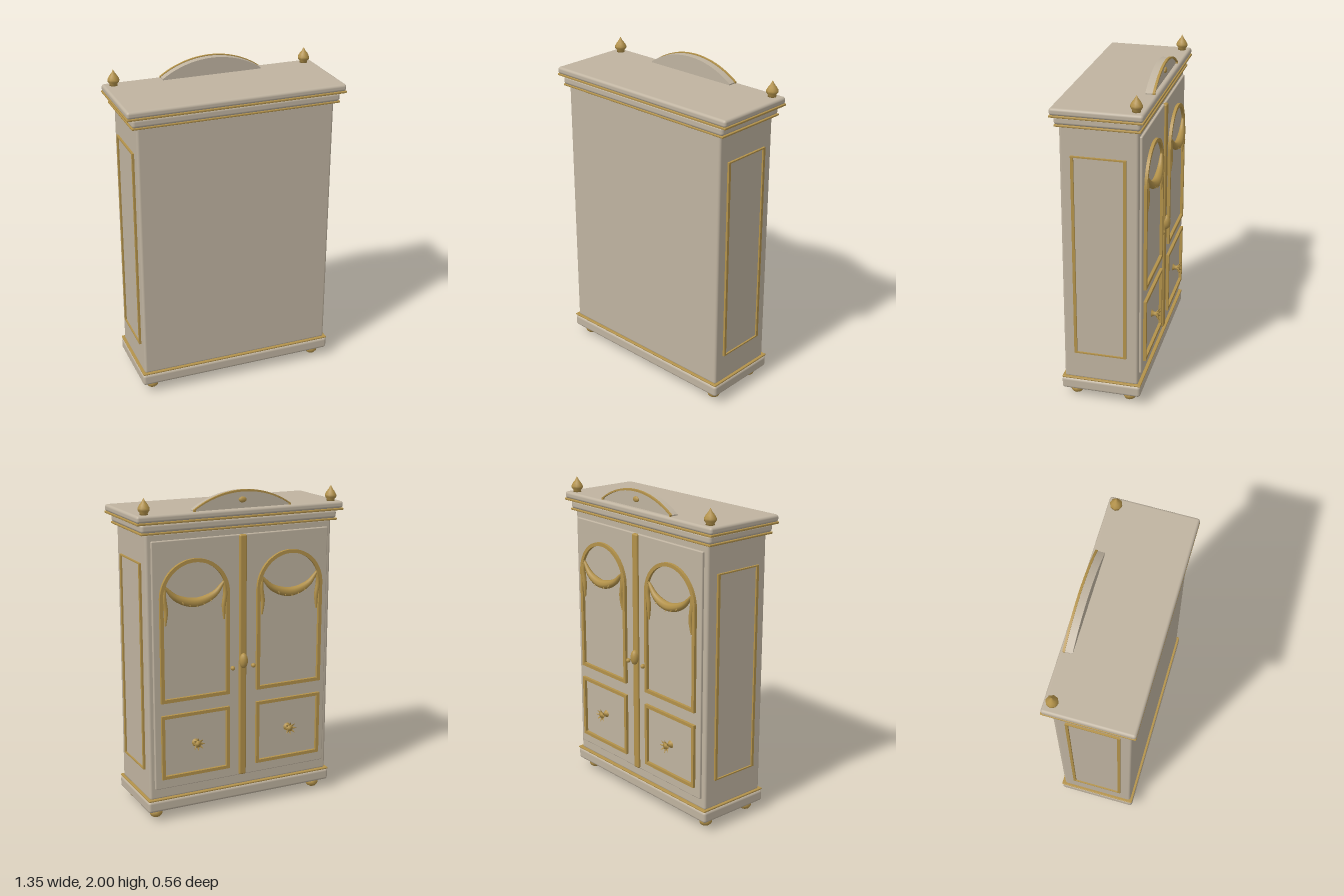
import * as THREE from 'three';
import { RoundedBoxGeometry } from 'three/addons/geometries/RoundedBoxGeometry.js';

const paint = new THREE.MeshStandardMaterial({ color: 0xbfb3a0 });
paint.name = 'greigePaint';
const gold = new THREE.MeshStandardMaterial({ color: 0xb3924a });
gold.name = 'gold';

function add(parent, name, geometry, material, x = 0, y = 0, z = 0) {
  const mesh = new THREE.Mesh(geometry, material);
  mesh.name = name;
  mesh.position.set(x, y, z);
  parent.add(mesh);
  return mesh;
}

// Rounded slab given by its half width, height range and depth range
function slab(parent, name, material, hx, y0, y1, z0, z1, r) {
  add(parent, name, new RoundedBoxGeometry(hx * 2, y1 - y0, z1 - z0, 3, r), material,
    0, (y0 + y1) / 2, (z0 + z1) / 2);
}

// Rectangle whose top is an arc of the given rise (0 = straight)
function outline(w, y0, y1, rise, Type = THREE.Shape) {
  const s = new Type();
  s.moveTo(w, y0);
  if (rise > 0) {
    const R = (w * w + rise * rise) / (2 * rise), a = Math.atan2(R - rise, w);
    s.lineTo(w, y1 - rise);
    s.absarc(0, y1 - R, R, a, Math.PI - a, false);
  } else {
    s.lineTo(w, y1);
    s.lineTo(-w, y1);
  }
  s.lineTo(-w, y0);
  s.closePath();
  return s;
}

// Moulding that follows an outline; tx and ty are its widths
function frame(w, y0, y1, rise, tx, ty, depth) {
  const s = outline(w, y0, y1, rise);
  s.holes.push(outline(w - tx, y0 + ty, y1 - ty, rise > 0 ? rise - ty : 0, THREE.Path));
  return new THREE.ExtrudeGeometry(s, { depth, bevelEnabled: false, curveSegments: 24 });
}

// Tube whose radius varies along its length
function taperedTube(points, radius) {
  const n = 24, m = 8;
  const curve = new THREE.CatmullRomCurve3(points.map(p => new THREE.Vector3(...p)));
  const g = new THREE.TubeGeometry(curve, n, 1, m);
  const pos = g.attributes.position, v = new THREE.Vector3();
  for (let i = 0; i <= n; i++) {
    const c = curve.getPointAt(i / n), r = radius(i / n);
    for (let j = 0; j <= m; j++) {
      const k = i * (m + 1) + j;
      v.fromBufferAttribute(pos, k).sub(c).multiplyScalar(r).add(c);
      pos.setXYZ(k, v.x, v.y, v.z);
    }
  }
  return g;
}

const lathe = (pts, n) => new THREE.LatheGeometry(pts.map(p => new THREE.Vector2(...p)), n);

// Door with mouldings, swag and flower, facing local +z
function buildDoor(side) {
  const door = new THREE.Group();
  door.name = side > 0 ? 'doorA' : 'doorB';
  const cx = side * 0.317, zf = 0.228;
  add(door, 'doorLeaf', new RoundedBoxGeometry(0.575, 1.525, 0.03, 2, 0.006), paint,
    side * 0.295, 0.9725, 0.213);
  add(door, 'archMoulding', frame(0.225, 0.76, 1.62, 0.225, 0.022, 0.022, 0.018), gold, cx, 0, zf);
  add(door, 'lowerMoulding', frame(0.225, 0.275, 0.68, 0, 0.02, 0.02, 0.018), gold, cx, 0, zf);

  const swag = new THREE.Group();
  swag.name = 'swag';
  swag.position.set(cx, 0, 0.236);
  door.add(swag);
  add(swag, 'swagDrape', taperedTube(
    [[-0.19, 1.465, 0], [-0.12, 1.395, 0.006], [0, 1.36, 0.01], [0.12, 1.395, 0.006], [0.19, 1.465, 0]],
    t => 0.008 + 0.02 * Math.sin(Math.PI * t)), gold);
  for (const s of [-1, 1]) {
    add(swag, 'swagTail', taperedTube(
      [[s * 0.188, 1.475, 0], [s * 0.196, 1.4, 0.004], [s * 0.186, 1.32, 0.004], [s * 0.19, 1.235, 0]],
      t => 0.004 + 0.01 * Math.sin(Math.PI * Math.min(1, t * 0.85 + 0.1))), gold);
  }
  // Small leaves along the drape
  for (const [x, y] of [[-0.09, 1.37], [-0.045, 1.352], [0, 1.345], [0.045, 1.352], [0.09, 1.37]]) {
    const leaf = add(swag, 'swagLeaf', new THREE.ConeGeometry(0.009, 0.035, 6), gold, x, y, 0.026);
    leaf.rotation.x = 2.2;
  }

  // Flower knob
  const flower = new THREE.Group();
  flower.name = 'flowerKnob';
  flower.position.set(cx, 0.48, zf);
  door.add(flower);
  const stem = add(flower, 'flowerStem',
    lathe([[0.024, 0], [0.014, 0.012], [0.012, 0.025], [0.022, 0.042], [0, 0.048]], 12), gold);
  stem.rotation.x = Math.PI / 2;
  for (let i = 0; i < 8; i++) {
    const spoke = new THREE.Group();
    spoke.rotation.z = i * Math.PI / 4;
    flower.add(spoke);
    const petal = add(spoke, 'petal', new THREE.ConeGeometry(0.013, 0.042, 6), gold, 0, 0.026, 0.042);
    petal.rotation.x = 0.55;
    petal.scale.z = 0.5;
  }

  const pull = add(door, 'doorPull', new THREE.SphereGeometry(0.014, 10, 8), gold, side * 0.07, 0.92, 0.24);
  pull.scale.z = 1.1;
  return door;
}

export function createModel() {
  const model = new THREE.Group();
  model.name = 'wardrobe';

  // Carcass, plinth and cornice
  slab(model, 'body', paint, 0.613, 0.14, 1.78, -0.213, 0.245, 0.015);
  slab(model, 'plinth', paint, 0.63, 0.062, 0.137, -0.23, 0.262, 0.018);
  slab(model, 'plinthTrim', gold, 0.628, 0.136, 0.147, -0.232, 0.26, 0.004);
  slab(model, 'lowerCorniceTrim', gold, 0.645, 1.774, 1.786, -0.232, 0.264, 0.004);
  slab(model, 'lowerCornice', paint, 0.643, 1.784, 1.838, -0.23, 0.267, 0.018);
  slab(model, 'upperCorniceTrim', gold, 0.677, 1.836, 1.849, -0.254, 0.282, 0.004);
  slab(model, 'upperCornice', paint, 0.676, 1.847, 1.89, -0.252, 0.282, 0.016);

  // Bun feet and finials
  for (const x of [-1, 1]) {
    for (const z of [-0.15, 0.185]) {
      const foot = add(model, 'foot', new THREE.SphereGeometry(0.041, 10, 8), gold, x * 0.553, 0.034, z);
      foot.scale.y = 0.83;
    }
    add(model, 'finial', lathe([[0, 0], [0.026, 0], [0.024, 0.012], [0.036, 0.028], [0.036, 0.04],
      [0.026, 0.058], [0.012, 0.076], [0, 0.098]], 8), gold, x * 0.613, 1.888, -0.2);

    // Framed panels on the sides
    const sidePanel = new THREE.Group();
    sidePanel.name = 'sidePanel';
    sidePanel.position.set(x * 0.61, 0, 0.018);
    sidePanel.rotation.y = x * Math.PI / 2;
    model.add(sidePanel);
    add(sidePanel, 'sideMoulding', frame(0.161, 0.322, 1.6, 0, 0.017, 0.008, 0.016), gold);
    add(sidePanel, 'sidePanelFace', new THREE.BoxGeometry(0.29, 1.264, 0.008), paint, 0, 0.961, 0.002);
  }

  // Door side of the wardrobe
  const doors = new THREE.Group();
  doors.name = 'doorSide';
  doors.rotation.y = Math.PI;
  model.add(doors);
  doors.add(buildDoor(1), buildDoor(-1));
  slab(doors, 'centreStrip', gold, 0.024, 0.215, 1.735, 0.215, 0.243, 0.01);
  const lock = add(doors, 'centreKnob', new THREE.SphereGeometry(0.034, 12, 10), gold, 0, 0.96, 0.245);
  lock.scale.set(0.8, 1.4, 0.8);

  // Arched crest with gold rim and boss
  add(doors, 'crest', new THREE.ExtrudeGeometry(outline(0.315, 1.87, 1.995, 0.098),
    { depth: 0.045, bevelEnabled: false, curveSegments: 24 }), paint, 0, 0, 0.178);
  add(doors, 'crestRim', frame(0.318, 1.87, 2, 0.1, 0.012, 0.012, 0.014), gold, 0, 0, 0.221);
  const boss = add(doors, 'crestBoss', new THREE.SphereGeometry(0.022, 10, 8), gold, 0, 1.94, 0.224);
  boss.scale.set(1.2, 0.8, 0.5);

  return model;
}
